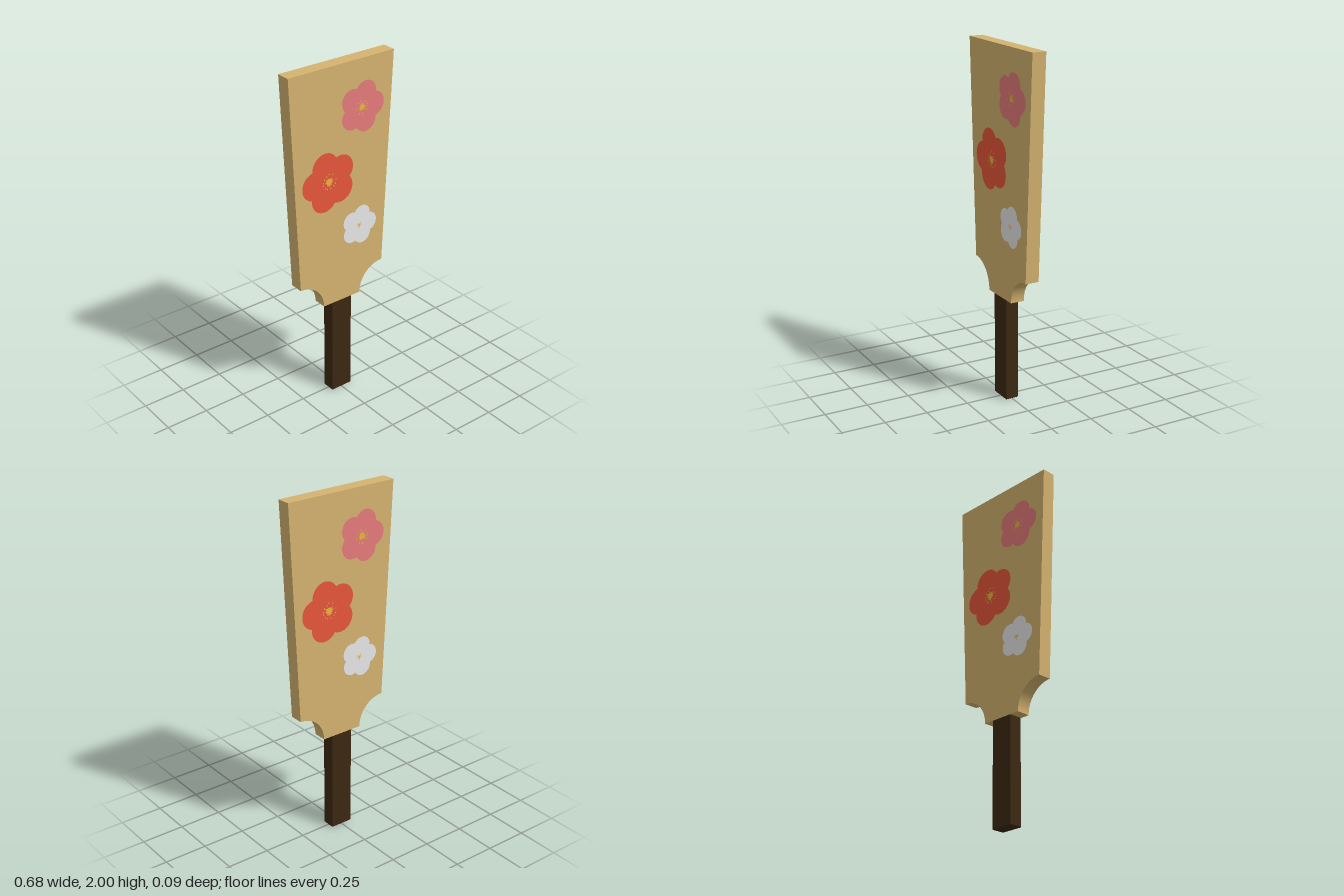
import * as THREE from 'three';
import { RoundedBoxGeometry } from 'three/addons/geometries/RoundedBoxGeometry.js';

const material = (name, color) => {
  const m = new THREE.MeshStandardMaterial({ color });
  m.name = name;
  return m;
};

const DEPTH = 0.08;

function addMesh(parent, name, geometry, mat) {
  const mesh = new THREE.Mesh(geometry, mat);
  mesh.name = name;
  parent.add(mesh);
  return mesh;
}

// Tapered blade with a quarter-round notch at each lower corner
function bladeGeometry() {
  const s = new THREE.Shape();
  s.moveTo(-0.125, 0.6);
  s.lineTo(0.125, 0.6);
  s.absellipse(0.283, 0.6, 0.158, 0.16, Math.PI, Math.PI / 2, true);
  s.lineTo(0.34, 2);
  s.lineTo(-0.34, 2);
  s.lineTo(-0.283, 0.76);
  s.absellipse(-0.283, 0.6, 0.158, 0.16, Math.PI / 2, 0, true);
  const g = new THREE.ExtrudeGeometry(s, { depth: DEPTH, bevelEnabled: false, curveSegments: 24 });
  return g.translate(0, 0, -DEPTH / 2);
}

// Outline of five overlapping round petals
function petalGeometry(radius) {
  const d = 0.53 * radius, r = 0.47 * radius, step = Math.PI * 0.4;
  const points = [];
  for (let i = 0; i < 120; i++) {
    const a = (i / 120) * Math.PI * 2;
    const off = a - Math.round(a / step) * step;
    const reach = d * Math.cos(off) + Math.sqrt(r * r - (d * Math.sin(off)) ** 2);
    points.push(new THREE.Vector2(Math.cos(a) * reach, Math.sin(a) * reach));
  }
  return new THREE.ShapeGeometry(new THREE.Shape(points));
}

// Spiky cluster for the flower's centre
function stamenGeometry(radius, spikes) {
  const points = [];
  for (let i = 0; i < spikes * 2; i++) {
    const a = (i / (spikes * 2)) * Math.PI * 2;
    const reach = radius * (i % 2 ? 0.5 : 0.8 + 0.2 * Math.sin(i * 2.3));
    points.push(new THREE.Vector2(Math.cos(a) * reach, Math.sin(a) * reach));
  }
  return new THREE.ShapeGeometry(new THREE.Shape(points));
}

function createFlower(f, yellow) {
  const flower = new THREE.Group();
  flower.name = f.name;
  flower.position.set(f.x, f.y, DEPTH / 2 + 0.0015);
  flower.rotation.z = f.turn;
  addMesh(flower, 'petals', petalGeometry(f.radius), f.mat);
  addMesh(flower, 'stamens', stamenGeometry(f.heart, 11), yellow).position.z = 0.0015;
  // Pollen dots scattered round the centre
  for (let i = 0; i < f.dots; i++) {
    const a = i * 2.4, reach = f.heart * (1.05 + 0.25 * ((i * 7) % 5) / 4);
    addMesh(flower, 'pollenDot', new THREE.CircleGeometry(0.004, 8), yellow)
      .position.set(Math.cos(a) * reach, Math.sin(a) * reach, 0.0015);
  }
  return flower;
}

export function createModel() {
  const wood = material('pale wood', 0xd5b36f);
  const dark = material('dark handle', 0x3d2813);
  const red = material('red petals', 0xf05a3d);
  const pink = material('pink petals', 0xf08080);
  const white = material('white petals', 0xf0f0f0);
  const yellow = material('yellow stamens', 0xefbf3b);

  const model = new THREE.Group();
  model.name = 'paddle';
  addMesh(model, 'blade', bladeGeometry(), wood);
  addMesh(model, 'handle', new RoundedBoxGeometry(0.136, 0.61, DEPTH - 0.001, 2, 0.006), dark)
    .position.y = 0.305;

  const flowers = [
    { name: 'pinkFlower', x: 0.13, y: 1.73, radius: 0.147, turn: 0, heart: 0.031, dots: 9, mat: pink },
    { name: 'redFlower', x: -0.088, y: 1.36, radius: 0.176, turn: Math.PI - 0.03, heart: 0.036, dots: 12, mat: red },
    { name: 'whiteFlower', x: 0.118, y: 1.035, radius: 0.119, turn: 0.03, heart: 0.012, dots: 5, mat: white },
  ];

  // The same painting on both faces
  for (const [name, turn] of [['frontPainting', 0], ['backPainting', Math.PI]]) {
    const painting = new THREE.Group();
    painting.name = name;
    painting.rotation.y = turn;
    flowers.forEach((f) => painting.add(createFlower(f, yellow)));
    model.add(painting);
  }
  return model;
}
